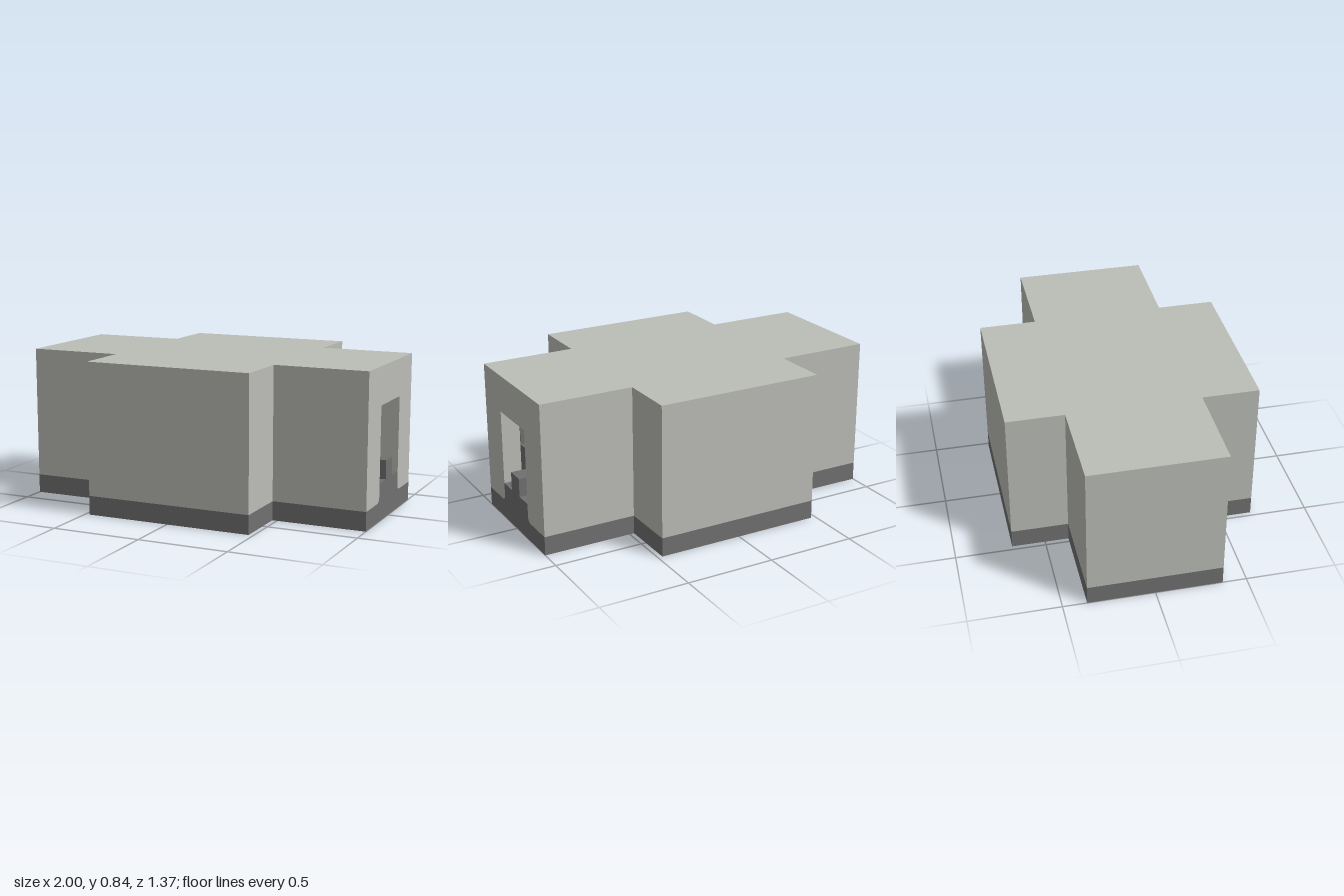
import * as THREE from 'three';

const U = 2 / 19; // one block
const wall = new THREE.MeshStandardMaterial({ color: 0xbbbdb7 });
wall.name = 'pale stone';
const dark = new THREE.MeshStandardMaterial({ color: 0x707070 });
dark.name = 'dark stone';

const polygon = (pts) => new THREE.Shape(pts.map(([x, y]) => new THREE.Vector2(x * U, y * U)));

function mesh(name, geometry, material) {
  const m = new THREE.Mesh(geometry, material);
  m.name = name;
  return m;
}

// Floor plan (in blocks) raised between two heights
function raise(name, plan, y0, y1, material) {
  const g = new THREE.ExtrudeGeometry(polygon(plan), { depth: (y1 - y0) * U, bevelEnabled: false });
  g.rotateX(-Math.PI / 2).translate(0, y0 * U, 0);
  return mesh(name, g, material);
}

// Cross-section (in blocks) run along x
function runAlongX(name, section, x0, x1, material) {
  const g = new THREE.ExtrudeGeometry(polygon(section), { depth: (x1 - x0) * U, bevelEnabled: false });
  g.rotateY(Math.PI / 2).translate(x0 * U, 0, 0);
  return mesh(name, g, material);
}

// Box given by its lower and upper corners in blocks
function block(name, [x0, y0, z0], [x1, y1, z1], material) {
  const g = new THREE.BoxGeometry((x1 - x0) * U, (y1 - y0) * U, (z1 - z0) * U);
  g.translate((x0 + x1) / 2 * U, (y0 + y1) / 2 * U, (z0 + z1) / 2 * U);
  return mesh(name, g, material);
}

export function createModel() {
  const model = new THREE.Group();
  model.name = 'crossShapedBuilding';

  // Plinth on the whole cross plan
  const cross = [
    [-9.5, -3.5], [-4.5, -3.5], [-4.5, -6.5], [4.5, -6.5], [4.5, -3.5], [9.5, -3.5],
    [9.5, 3.5], [4.5, 3.5], [4.5, 6.5], [-4.5, 6.5], [-4.5, 3.5], [-9.5, 3.5],
  ];
  model.add(raise('plinth', cross, 0, 1, dark));

  // Closed halls, without the entrance wing
  const halls = cross.filter(([x]) => x !== 9.5);
  model.add(raise('hallWalls', halls, 1, 8, wall));

  // Entrance wing with its passage; the sill flares out at its foot
  const flare = [[1.5, 2], [1.5, 1.25], [1.55, 1.12], [1.65, 1.04], [1.8, 1]];
  const mirrored = flare.map(([z, y]) => [-z, y]);
  const wing = [
    [3.5, 1], [3.5, 8], [-3.5, 8], [-3.5, 1],
    ...mirrored.slice().reverse(), [-1.5, 6], [1.5, 6], ...flare,
  ];
  model.add(runAlongX('entranceWing', wing, 4.5, 9.5, wall));
  model.add(runAlongX('entranceSill', [...mirrored, ...flare.slice().reverse()], 4.5, 9.5, dark));

  // Steps rising across the doorway
  model.add(block('lowerStep', [8.5, 2, -0.5], [9.5, 3, 0.5], dark));
  model.add(block('upperStep', [7.5, 2, 0.5], [8.5, 4, 1.5], dark));

  // Dark bands lining both sides of the passage
  for (const s of [-1, 1]) {
    const a = s * 1.5, b = s * 1.46;
    model.add(block('passageBand', [7.5, 2, Math.min(a, b)], [8.5, 6, Math.max(a, b)], dark));
  }
  return model;
}
